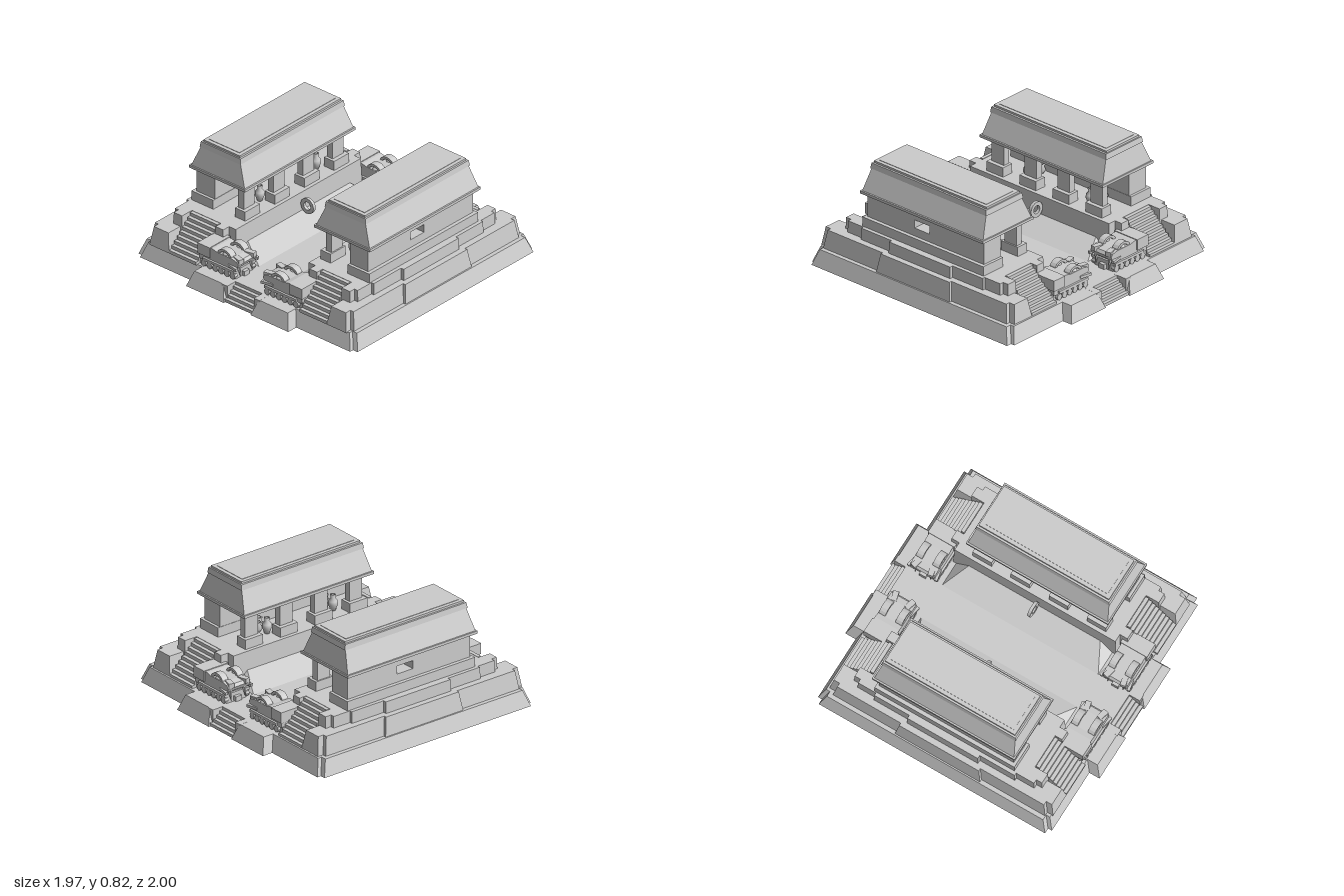
import * as THREE from 'three';

const grey = new THREE.MeshStandardMaterial({ color: 0xcccccc, flatShading: true, side: THREE.DoubleSide });
const smooth = new THREE.MeshStandardMaterial({ color: 0xcccccc, side: THREE.DoubleSide });

function add(parent, name, geo, x = 0, y = 0, z = 0, mat = grey) {
  const m = new THREE.Mesh(geo, mat);
  m.name = name;
  m.position.set(x, y, z);
  parent.add(m);
  return m;
}

// box given by its limits on each axis
function block(parent, name, x0, x1, y0, y1, z0, z1) {
  return add(parent, name, new THREE.BoxGeometry(x1 - x0, y1 - y0, z1 - z0), (x0 + x1) / 2, (y0 + y1) / 2, (z0 + z1) / 2);
}

// plan outline [x, z] raised from y0 to y1 with walls leaning inward by inset; underside left open
function tapered(parent, name, plan, y0, y1, inset) {
  let p = plan.map(([x, z]) => new THREE.Vector2(x, -z));
  if (THREE.ShapeUtils.area(p) < 0) p.reverse();
  const n = p.length;
  const normal = (a, b) => new THREE.Vector2(a.y - b.y, b.x - a.x).normalize();
  const top = p.map((v, i) => {
    const n1 = normal(p[(i + n - 1) % n], v), n2 = normal(v, p[(i + 1) % n]);
    const mitre = n1.clone().add(n2).divideScalar(1 + n1.dot(n2));
    return v.clone().addScaledVector(mitre, inset);
  });
  const out = [];
  const put = (v, y) => out.push(v.x, y, -v.y);
  for (let i = 0; i < n; i++) {
    const j = (i + 1) % n;
    put(p[i], y0); put(p[j], y0); put(top[j], y1);
    put(p[i], y0); put(top[j], y1); put(top[i], y1);
  }
  for (const f of THREE.ShapeUtils.triangulateShape(top, [])) f.forEach(i => put(top[i], y1));
  const geo = new THREE.BufferGeometry();
  geo.setAttribute('position', new THREE.Float32BufferAttribute(out, 3));
  geo.computeVertexNormals();
  return add(parent, name, geo);
}

const mirrorZ = half => [...half, ...half.map(([x, z]) => [x, -z]).reverse()];
const rect = (x0, x1, z) => [[x0, -z], [x1, -z], [x1, z], [x0, z]];

// solid stairs climbing from z0 (low) to z1 (high)
function stairs(parent, name, x0, x1, y0, y1, z0, z1, count) {
  const g = new THREE.Group();
  g.name = name;
  for (let i = 0; i < count; i++) {
    const za = z0 + (z1 - z0) * i / count;
    block(g, 'step', x0, x1, y0, y0 + (y1 - y0) * (i + 1) / count, Math.min(za, z1), Math.max(za, z1));
  }
  parent.add(g);
}

// profile in x and y, extruded along z and centred on it
function slab(points, width, hole) {
  const s = new THREE.Shape(points.map(q => new THREE.Vector2(...q)));
  if (hole) s.holes.push(new THREE.Path(hole.map(q => new THREE.Vector2(...q))));
  return new THREE.ExtrudeGeometry(s, { depth: width, bevelEnabled: false }).translate(0, 0, -width / 2);
}

// carved serpent head with its snout toward the court
function serpentHead() {
  const g = new THREE.Group();
  g.name = 'serpentHead';
  block(g, 'lowerJaw', 0.14, 0.47, 0.115, 0.165, -0.085, 0.085);
  add(g, 'upperHead', slab([[0.46, 0.16], [0.47, 0.275], [0.34, 0.275], [0.3, 0.265], [0.17, 0.265],
    [0.125, 0.255], [0.11, 0.235], [0.125, 0.205], [0.15, 0.19], [0.15, 0.16]], 0.19));
  block(g, 'neckBand', 0.36, 0.47, 0.2, 0.28, -0.105, 0.105);
  block(g, 'lip', 0.135, 0.42, 0.165, 0.185, -0.11, 0.11);
  const arc = (rx, ry) => Array.from({ length: 9 }, (_, i) =>
    [0.24 + rx * Math.cos(i * Math.PI / 8), 0.255 + ry * Math.sin(i * Math.PI / 8)]);
  for (const s of [-1, 1]) {
    add(g, 'brow', slab([...arc(0.063, 0.05), ...arc(0.042, 0.032).reverse()], 0.05), 0, 0, s * 0.065);
    add(g, 'eye', new THREE.SphereGeometry(0.026, 10, 8), 0.24, 0.258, s * 0.07, smooth);
    for (let i = 0; i < 6; i++) {
      add(g, 'tooth', new THREE.CylinderGeometry(0.024, 0.024, 0.03, 8).rotateX(Math.PI / 2), 0.155 + i * 0.052, 0.14, s * 0.09);
    }
    const fang = add(g, 'fang', new THREE.ConeGeometry(0.018, 0.08, 6), 0.13, 0.17, s * 0.06);
    fang.rotation.z = Math.PI - 0.2;
    const nostril = block(g, 'nostril', 0.105, 0.175, 0.235, 0.27, s * 0.06 - 0.02, s * 0.06 + 0.02);
    nostril.rotation.y = s * 0.25;
    const cheek = block(g, 'cheek', 0.11, 0.2, 0.195, 0.215, s * 0.1 - 0.01, s * 0.1 + 0.01);
    cheek.rotation.y = s * 0.2;
  }
  block(g, 'tongue', 0.115, 0.16, 0.12, 0.155, -0.025, 0.025);
  return g;
}

const lathe = pts => new THREE.LatheGeometry(pts.map(q => new THREE.Vector2(...q)), 16);

// roofed gallery with a rear wall, a row of piers and pottery
function gallery() {
  const g = new THREE.Group();
  g.name = 'gallery';
  block(g, 'wallPlinth', 0.62, 0.815, 0.335, 0.405, -0.55, 0.55);
  const wall = slab([[-0.53, 0.405], [0.53, 0.405], [0.53, 0.59], [-0.53, 0.59]], 0.165,
    [[-0.1, 0.465], [0.035, 0.465], [0.035, 0.525], [-0.1, 0.525]]);
  add(g, 'rearWall', wall.rotateY(Math.PI / 2), 0.705, 0, 0);
  for (const z of [-0.45, -0.15, 0.15, 0.45]) {
    block(g, 'pierBase', 0.355, 0.445, 0.33, 0.405, z - 0.075, z + 0.075);
    block(g, 'pier', 0.385, 0.435, 0.4, 0.59, z - 0.055, z + 0.055);
  }
  // roof
  block(g, 'eaves', 0.325, 0.83, 0.585, 0.605, -0.56, 0.56);
  const z0 = 0.55, x0 = 0.337, x1 = 0.818;
  const roof = tapered(g, 'roofSlope', rect(x0, x1, z0), 0.605, 0.765, 0.06);
  // ends lean less than the long sides
  const pos = roof.geometry.attributes.position;
  for (let i = 0; i < pos.count; i++) {
    if (pos.getY(i) > 0.7) pos.setXYZ(i, 0.578 + Math.sign(pos.getX(i) - 0.578) * 0.176, 0.765, Math.sign(pos.getZ(i)) * 0.52);
  }
  roof.geometry.computeVertexNormals();
  tapered(g, 'cornice', rect(0.394, 0.762, 0.528), 0.76, 0.8, 0.006);
  block(g, 'roofCap', 0.415, 0.742, 0.795, 0.815, -0.512, 0.512);
  block(g, 'roofPanel', 0.442, 0.715, 0.81, 0.818, -0.485, 0.485);
  // pottery
  const urn = lathe([[0, 0], [0.018, 0], [0.034, 0.045], [0.032, 0.07], [0.015, 0.092], [0.021, 0.115], [0.012, 0.115]]);
  const pot = lathe([[0, 0], [0.016, 0], [0.03, 0.025], [0.019, 0.05], [0.025, 0.068], [0.015, 0.068]]);
  for (const z of [0.32, -0.25]) {
    add(g, 'urn', urn, 0.468, 0.335, z, smooth);
    add(g, 'pot', pot, 0.525, 0.335, z - 0.03, smooth);
    add(g, 'pot', pot, 0.58, 0.335, z + 0.02, smooth);
  }
  return g;
}

// one side of the court, on +x
function courtSide() {
  const g = new THREE.Group();
  g.name = 'courtSide';
  tapered(g, 'lowerTerrace', mirrorZ([[0.47, 0.645], [0.71, 0.645], [0.71, 0.88], [0.885, 0.88], [0.885, 0.835],
    [0.915, 0.835], [0.915, 0.335], [0.935, 0.335]]), 0.11, 0.25, 0.022);
  tapered(g, 'upperTerrace', mirrorZ([[0.32, 0.64], [0.38, 0.64], [0.38, 0.7], [0.465, 0.7], [0.465, 0.645], [0.71, 0.645],
    [0.71, 0.745], [0.8, 0.745], [0.8, 0.7], [0.83, 0.7], [0.83, 0.56], [0.85, 0.56], [0.85, 0.285], [0.875, 0.285]]),
  0.11, 0.335, 0.008);
  for (const s of [-1, 1]) {
    stairs(g, 'terraceStairs', 0.465, 0.71, 0.11, 0.335, s * 0.88, s * 0.64, 9);
    const head = serpentHead();
    head.position.z = s * 0.757;
    g.add(head);
  }
  // sloping bank beside the playing alley: its top edge is shorter and set back
  const bank = new THREE.BoxGeometry(0.205, 0.09, 1.24);
  const p = bank.attributes.position;
  for (let i = 0; i < p.count; i++) {
    if (p.getY(i) > 0) { p.setZ(i, p.getZ(i) * 0.83); if (p.getX(i) < 0) p.setX(i, 0.1); }
  }
  bank.computeVertexNormals();
  add(g, 'slopingBank', bank, 0.2275, 0.155, 0);
  // stone ring on the bank wall
  add(g, 'ring', slab(Array.from({ length: 20 }, (_, i) => [0.058 * Math.cos(i * Math.PI / 10), 0.058 * Math.sin(i * Math.PI / 10)]), 0.022,
    Array.from({ length: 20 }, (_, i) => [0.03 * Math.cos(i * Math.PI / 10), 0.03 * Math.sin(i * Math.PI / 10)])), 0.262, 0.26, 0.025);
  const building = gallery();
  building.position.z = 0.0175;
  g.add(building);
  return g;
}

export function createModel() {
  const model = new THREE.Group();
  model.name = 'ballCourt';
  // hollow stepped base with stair notches at both ends
  const quarter = [[0.12, 0.9], [0.12, 1], [0.46, 1], [0.46, 0.92], [0.945, 0.92], [0.945, 0.89], [0.985, 0.89]];
  const right = mirrorZ(quarter);
  tapered(model, 'base', [...right, ...right.map(([x, z]) => [-x, -z])], 0, 0.115, 0.04);
  for (const s of [-1, 1]) stairs(model, 'entranceStairs', -0.16, 0.16, 0, 0.115, s * 0.985, s * 0.855, 5);
  for (const s of [-1, 1]) for (const t of [-1, 1]) {
    block(model, 'stairCheek', Math.min(t * 0.12, t * 0.17), Math.max(t * 0.12, t * 0.17), 0.002, 0.1155,
      Math.min(s * 0.86, s * 0.965), Math.max(s * 0.86, s * 0.965));
  }
  // the two sides are half-turn copies of each other
  for (const turn of [0, Math.PI]) {
    const side = courtSide();
    side.rotation.y = turn;
    side.position.z = 0.0125;
    model.add(side);
  }
  return model;
}
